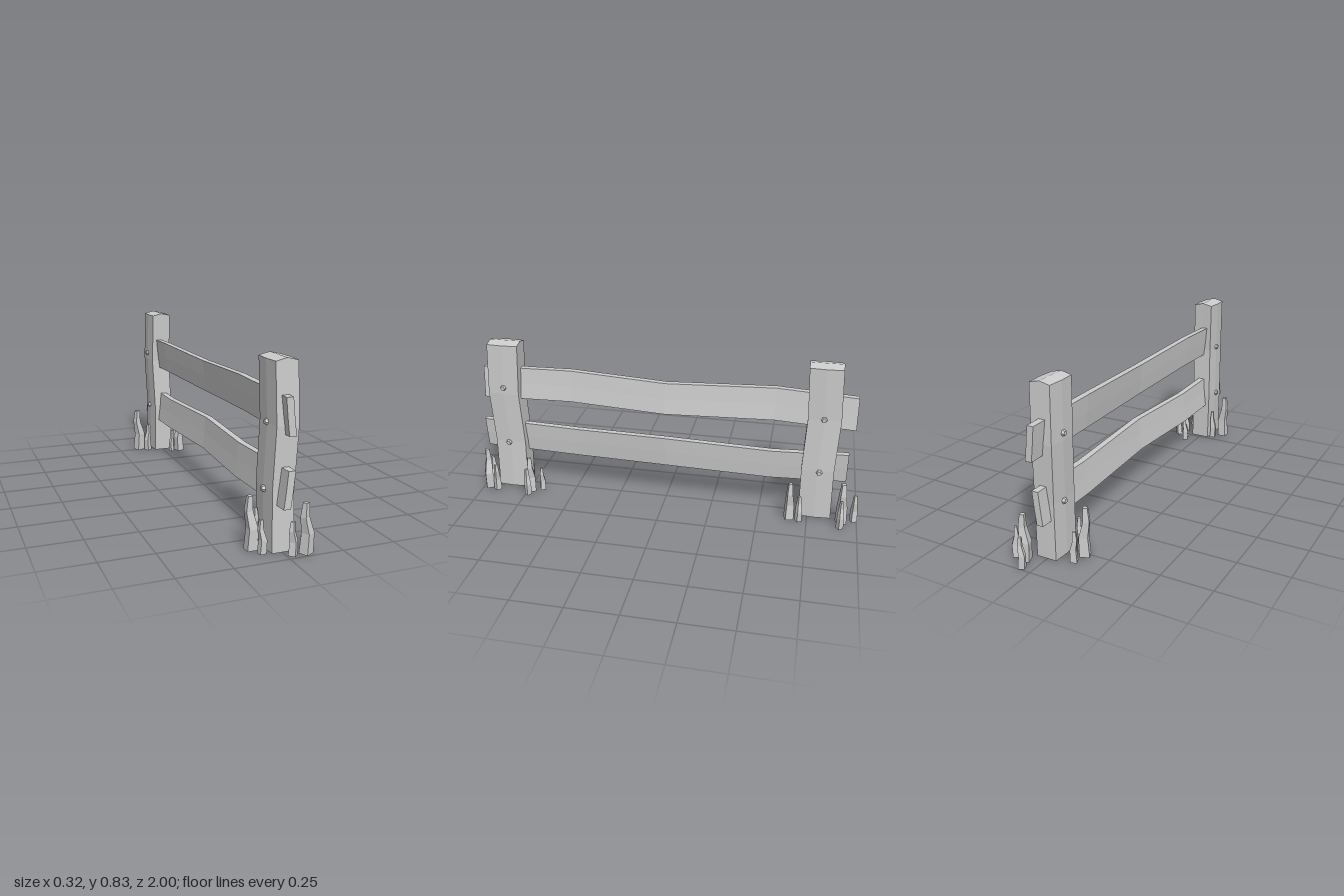
import * as THREE from 'three';

const material = new THREE.MeshStandardMaterial({ color: 0xcccccc, flatShading: true });

function addMesh(parent, geometry, name) {
  const mesh = new THREE.Mesh(geometry, material);
  mesh.name = name;
  parent.add(mesh);
  return mesh;
}

// Skin equal-sized rings of [x, y, z] points and close both ends with fans from point 1
function loft(rings) {
  const n = rings[0].length;
  const out = [];
  const tri = (a, b, c) => out.push(...a, ...b, ...c);
  for (let r = 0; r < rings.length - 1; r++) {
    const a = rings[r], b = rings[r + 1];
    for (let i = 0; i < n; i++) {
      const j = (i + 1) % n;
      tri(a[i], a[j], b[j]);
      tri(a[i], b[j], b[i]);
    }
  }
  const first = rings[0], last = rings[rings.length - 1];
  for (let k = 2; k < n; k++) {
    const i = k, j = (k + 1) % n;
    tri(last[1], last[i], last[j]);
    tri(first[1], first[j], first[i]);
  }
  const geometry = new THREE.BufferGeometry();
  geometry.setAttribute('position', new THREE.Float32BufferAttribute(out, 3));
  geometry.computeVertexNormals();
  return geometry;
}

// Post: gently bent timber with a low ridge on top; levels are [y, xCentre, zCentre, halfWidth]
function postGeometry(levels) {
  const d = 0.081;
  return loft(levels.map(([y, cx, cz, w], k) => {
    const ridge = k === levels.length - 1 ? 0.012 : 0;
    const s = w + 0.005;
    return [[-w, 0, d], [0, ridge, d], [w, 0, d], [s, 0, 0],
      [w, 0, -d], [0, ridge, -d], [-w, 0, -d], [-s, 0, 0]]
      .map(([x, dy, z]) => [cx + x, y + dy, cz + z]);
  }));
}

// Rail: leaning plank swept along z; stations are [z, xCentre, bottom, top]
function railGeometry(stations, lean) {
  const h = 0.016;
  return loft(stations.map(([z, cx, bottom, top]) => {
    const mid = (bottom + top) / 2;
    const [lb, lm, lt] = lean;
    return [[cx + lb + h, bottom, z], [cx + lm + h, mid, z], [cx + lt + h, top, z],
      [cx + lt - h, top, z], [cx + lm - h, mid, z], [cx + lb - h, bottom, z]];
  }));
}

// Grass blade: square tapered stalk with a slight kink
function bladeGeometry(width, height, bend) {
  const levels = [[0, 1, 0], [0.4, 0.9, -0.12], [0.72, 0.65, 0.2], [1, 0.45, 0.12]];
  return loft(levels.map(([t, s, b]) => {
    const w = width * s / 2, o = b * width * bend;
    return [[-w, w], [w, w], [w, -w], [-w, -w]].map(([x, z]) => [x + o, t * height, z + o * 0.5]);
  }));
}

export function createModel() {
  const fence = new THREE.Group();
  fence.name = 'fence';

  // Two posts, the back one bending the other way
  const posts = [
    { name: 'frontPost', z: 0.845, flip: 1, shift: 0 },
    { name: 'backPost', z: -0.787, flip: -1, shift: 0.007 },
  ];
  const bends = [[0, 0.003, 0, 0.05], [0.27, 0, -0.004, 0.05],
    [0.55, 0.009, 0.008, 0.051], [0.815, 0.004, -0.004, 0.051]];
  for (const { name, z, flip, shift } of posts) {
    const group = new THREE.Group();
    group.name = name;
    group.position.set(shift, 0, z);
    fence.add(group);
    addMesh(group, postGeometry(bends.map(([y, x, dz, w]) => [y, x * flip, dz * flip, w])), 'post');

    // Faceted bolt heads on both sides
    for (const [side, y] of [[1, 0.585], [1, 0.265], [-1, 0.553], [-1, 0.265]]) {
      const bolt = addMesh(group, new THREE.CylinderGeometry(0.011, 0.019, 0.02, 6), 'bolt');
      const centre = y > 0.4 ? 0.009 : 0;
      bolt.position.set(flip * (side * 0.057 + centre), y, 0.005 * flip);
      bolt.rotation.z = -side * flip * Math.PI / 2;
    }
  }

  // Rails, listed from back to front
  addMesh(fence, railGeometry([
    [-0.95, 0, 0.497, 0.66], [-0.55, -0.012, 0.512, 0.677], [0, 0.014, 0.504, 0.665],
    [0.5, -0.002, 0.522, 0.686], [0.97, 0, 0.513, 0.677],
  ], [0.014, 0.004, -0.004]), 'upperRail');
  addMesh(fence, railGeometry([
    [-0.93, 0, 0.195, 0.355], [-0.55, 0.012, 0.185, 0.345], [0, 0.024, 0.203, 0.366],
    [0.48, 0.002, 0.2, 0.361], [0.99, 0, 0.213, 0.376],
  ], [-0.014, -0.004, 0.004]), 'lowerRail');

  // Grass clumps of one tall and two short blades: [x, z, width, height, turn]
  const clumps = [
    [[-0.112, 0.85, 0.046, 0.24, 0], [-0.07, 0.79, 0.03, 0.16, 0.2], [-0.085, 0.905, 0.03, 0.15, 0.1]],
    [[0.085, 0.73, 0.042, 0.2, 0.4], [0.13, 0.735, 0.028, 0.15, 0.9], [0.062, 0.675, 0.028, 0.13, 0.4]],
    [[0.09, 0.968, 0.044, 0.225, 0.5], [0.11, 0.917, 0.03, 0.15, 0.9], [0.028, 0.968, 0.032, 0.15, 0.8]],
    [[0.08, -0.92, 0.046, 0.225, 0.3], [0.135, -0.915, 0.028, 0.15, 0.6], [0.053, -0.983, 0.03, 0.15, 0.4]],
    [[-0.132, -0.763, 0.046, 0.24, 0.4], [-0.085, -0.727, 0.03, 0.16, 0.6], [-0.118, -0.832, 0.03, 0.15, 0.4]],
    [[0.09, -0.658, 0.042, 0.205, 0.3], [0.106, -0.707, 0.028, 0.14, 0.6], [0.04, -0.65, 0.022, 0.13, 0.4]],
  ];
  clumps.forEach((blades, c) => {
    const clump = new THREE.Group();
    clump.name = 'grassClump';
    fence.add(clump);
    blades.forEach(([x, z, width, height, turn], i) => {
      const blade = addMesh(clump, bladeGeometry(width, height, (c + i) % 2 ? 1 : -1), 'grassBlade');
      blade.position.set(x, 0, z);
      blade.rotation.y = turn;
    });
  });

  return fence;
}
